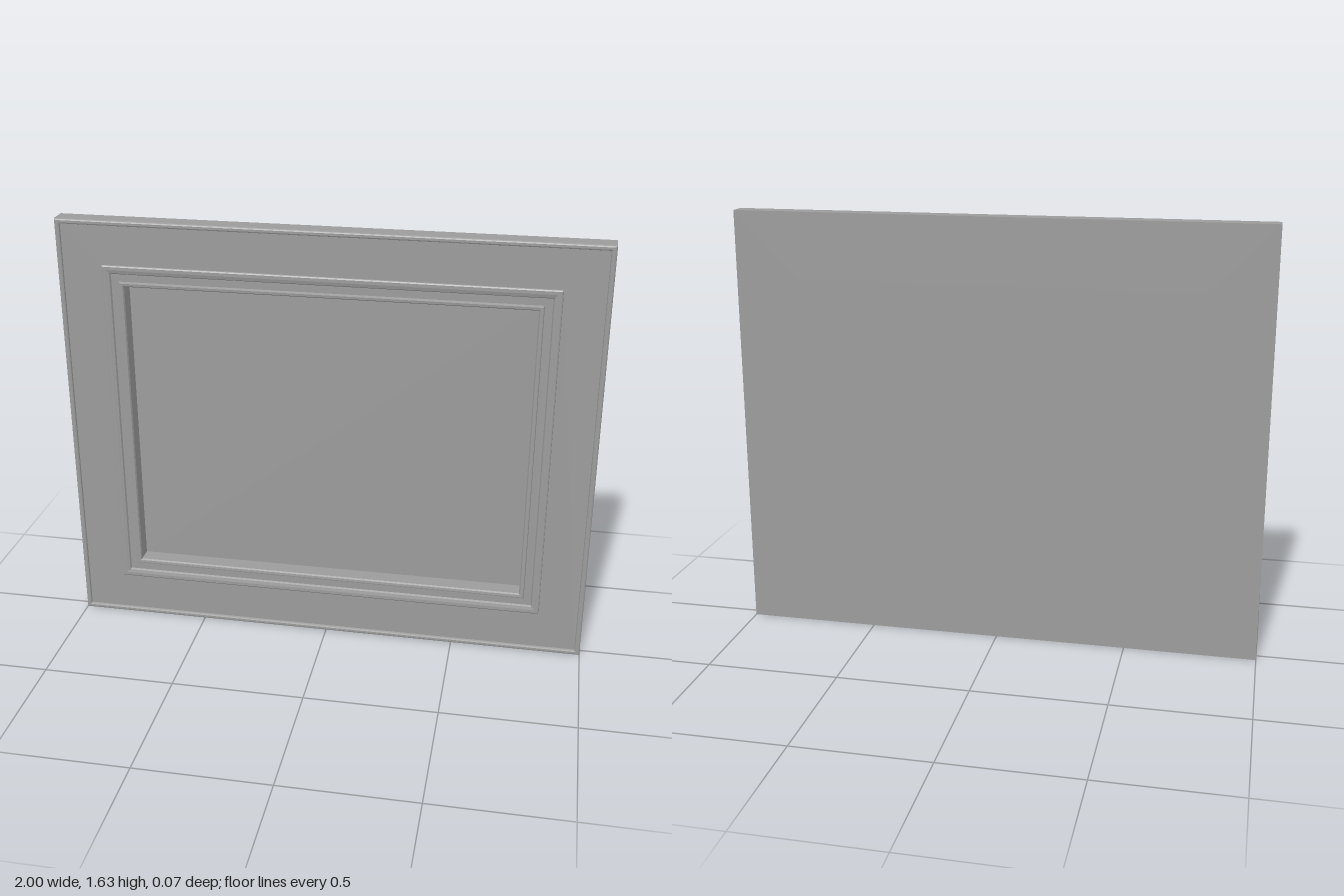
import * as THREE from 'three';

const W = 2, H = 1.635, BACK = -0.037, FLOOR = -0.033, OPENING = 0.247;

// Sweeps a profile of [inset, z] points round a rectangle with mitred corners
function mitredFrame(profile) {
  const positions = [];
  const corner = ([inset, z], k) => {
    const sx = k === 0 || k === 3 ? -1 : 1;
    const sy = k < 2 ? -1 : 1;
    return [sx * (W / 2 - inset), H / 2 + sy * (H / 2 - inset), z];
  };
  for (let i = 0; i < profile.length - 1; i++) {
    for (let k = 0; k < 4; k++) {
      const n = (k + 1) % 4;
      const a = corner(profile[i], k), b = corner(profile[i], n);
      const c = corner(profile[i + 1], n), d = corner(profile[i + 1], k);
      positions.push(...a, ...b, ...c, ...a, ...c, ...d);
    }
  }
  const geometry = new THREE.BufferGeometry();
  geometry.setAttribute('position', new THREE.Float32BufferAttribute(positions, 3));
  geometry.computeVertexNormals();
  return geometry;
}

export function createModel() {
  const group = new THREE.Group();
  group.name = 'panelDoor';
  const material = new THREE.MeshStandardMaterial({ color: 0x9c9c9c });

  const frame = new THREE.Mesh(mitredFrame([
    // back and side
    [OPENING, BACK], [0, BACK], [0, 0.031],
    // rounded outer lip
    [0.002, 0.035], [0.006, 0.037], [0.014, 0.037], [0.018, 0.035], [0.02, 0.029],
    // flat face, then raised bead
    [0.167, 0.029], [0.168, 0.034], [0.172, 0.037], [0.184, 0.037], [0.196, 0.034], [0.2, 0.027],
    // groove, inner bead and recess wall
    [0.228, 0.027], [0.23, 0.032], [0.234, 0.033], [0.243, 0.032], [OPENING, 0.026],
    [OPENING, FLOOR],
  ]), material);
  frame.name = 'frame';
  group.add(frame);

  // Thin recessed centre panel, flush with the back
  const panel = new THREE.Mesh(
    new THREE.BoxGeometry(W - 2 * OPENING, H - 2 * OPENING, FLOOR - BACK), material);
  panel.position.set(0, H / 2, (FLOOR + BACK) / 2);
  panel.name = 'centrePanel';
  group.add(panel);

  return group;
}
